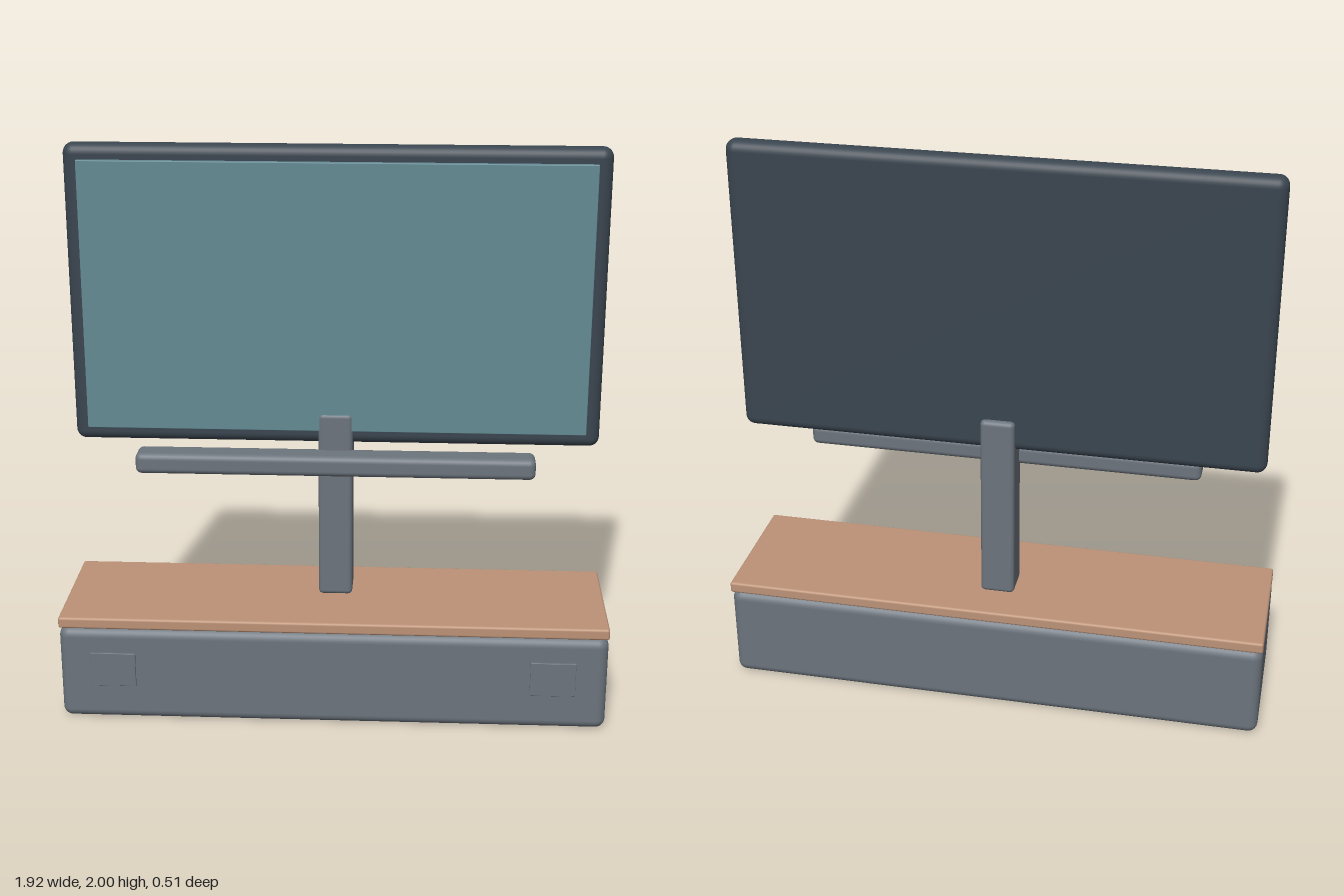
import * as THREE from 'three';
import { RoundedBoxGeometry } from 'three/addons/geometries/RoundedBoxGeometry.js';

const mat = (name, color) => Object.assign(new THREE.MeshStandardMaterial({ color }), { name });

export function createModel() {
  const group = new THREE.Group();
  group.name = 'televisionOnCabinet';

  const metal = mat('grey metal', 0x6c747d);
  const wood = mat('warm wood', 0xbc9277);
  const casing = mat('dark casing', 0x3a454f);
  const glass = mat('teal screen', 0x648a94);

  // Rounded box given by its [min, max] range on each axis
  function box(name, material, [x0, x1], [y0, y1], [z0, z1], radius) {
    const geometry = new RoundedBoxGeometry(x1 - x0, y1 - y0, z1 - z0, 4, radius);
    const mesh = new THREE.Mesh(geometry, material);
    mesh.position.set((x0 + x1) / 2, (y0 + y1) / 2, (z0 + z1) / 2);
    mesh.name = name;
    group.add(mesh);
  }

  // Low cabinet with a wooden top
  box('cabinet', metal, [-0.96, 0.96], [0, 0.347], [-0.25, 0.25], 0.034);
  box('cabinetTop', wood, [-0.96, 0.96], [0.347, 0.388], [-0.252, 0.248], 0.009);

  // Thin plates on the cabinet front
  for (const side of [-1, 1]) {
    const x = side * 0.77;
    box(side > 0 ? 'leftPlate' : 'rightPlate', metal,
      [x - 0.079, x + 0.079], [0.133, 0.259], [0.249, 0.258], 0.002);
  }

  // Post carrying the television, and the sound bar across it
  box('post', metal, [-0.06, 0.06], [0.388, 1.072], [-0.117, 0.005], 0.016);
  box('soundBar', metal, [-0.695, 0.695], [0.865, 0.94], [-0.022, 0.08], 0.022);

  // Television casing and screen
  box('televisionCasing', casing, [-0.917, 0.917], [0.955, 2], [-0.096, -0.018], 0.035);
  box('screen', glass, [-0.868, 0.868], [1.008, 1.948], [-0.022, 0], 0.003);

  return group;
}
